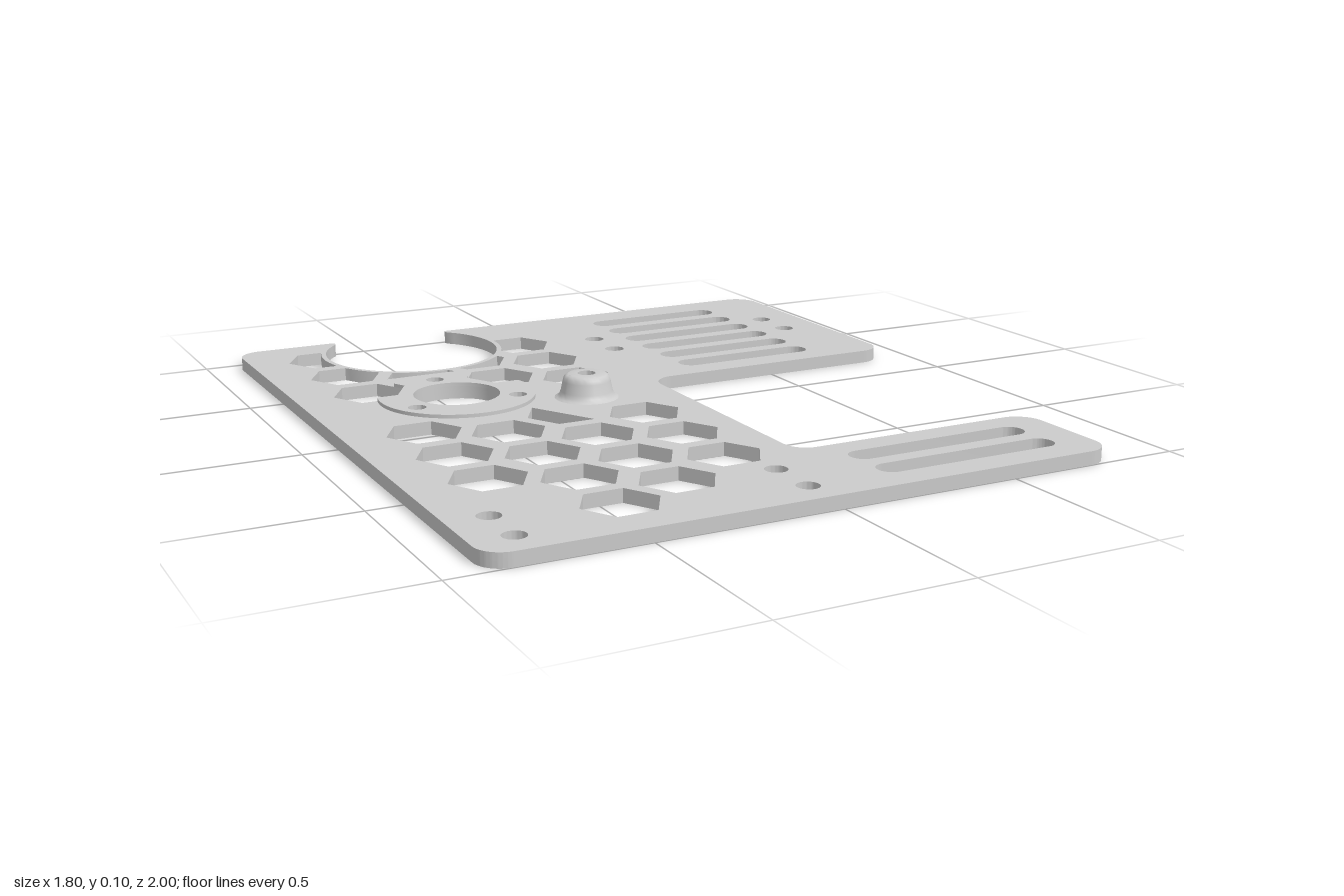
import * as THREE from 'three';
import { toCreasedNormals } from 'three/addons/utils/BufferGeometryUtils.js';

const V = (x, z) => new THREE.Vector2(x, z);
const THICK = 0.037;
const OPENING = { c: V(-0.412, -0.794), r: 0.262, rim: 0.276 };
const FLANGE = { c: V(-0.488, -0.22), r: 0.22, bore: 0.121 };
const HEX_R = 0.104;

// Shapes are drawn in (x, z) and laid flat with the bottom at y0
function slab(shape, y0, height) {
  const geo = new THREE.ExtrudeGeometry(shape, { depth: height, bevelEnabled: false, curveSegments: 24 });
  geo.rotateX(Math.PI / 2).translate(0, y0 + height, 0);
  return toCreasedNormals(geo, 0.5);
}

function circle(x, z, r) {
  return new THREE.Path().absarc(x, z, r, 0, Math.PI * 2, false);
}

function slot(x0, x1, z, r) {
  const p = new THREE.Path();
  p.absarc(x1 - r, z, r, -Math.PI / 2, Math.PI / 2, false);
  p.absarc(x0 + r, z, r, Math.PI / 2, Math.PI * 1.5, false);
  p.closePath();
  return p;
}

function hexagon(x, z) {
  return Array.from({ length: 6 }, (_, i) =>
    V(x + HEX_R * Math.cos(i * Math.PI / 3), z + HEX_R * Math.sin(i * Math.PI / 3)));
}

// Cuts a polygon back to the rim circle of the round opening
function clipToRim(poly) {
  const { c, rim } = OPENING;
  let pts = [];
  poly.forEach((p, i) => {
    const q = poly[(i + 1) % poly.length];
    for (let k = 0; k < 40; k++) pts.push(p.clone().lerp(q, k / 40));
  });
  const dist = pts.map(p => p.distanceTo(c));
  if (Math.min(...dist) >= rim) return poly;
  const far = dist.indexOf(Math.max(...dist));
  pts = [...pts.slice(far), ...pts.slice(0, far)];
  const out = [];
  let last = pts[0], gap = false;
  for (const p of pts) {
    if (p.distanceTo(c) < rim) { gap = true; continue; }
    if (gap) {
      const a0 = Math.atan2(last.y - c.y, last.x - c.x);
      let d = Math.atan2(p.y - c.y, p.x - c.x) - a0;
      d = Math.atan2(Math.sin(d), Math.cos(d));
      for (let k = 1; k < 12; k++) {
        const a = a0 + d * k / 12;
        out.push(V(c.x + rim * Math.cos(a), c.y + rim * Math.sin(a)));
      }
      gap = false;
    }
    out.push(p);
    last = p;
  }
  return out;
}

// Distance along a ray to the nearest side of a polygon
function rayHit(origin, dir, poly) {
  let best = Infinity;
  poly.forEach((p, i) => {
    const e = poly[(i + 1) % poly.length].clone().sub(p);
    const w = p.clone().sub(origin);
    const den = dir.cross(e);
    if (Math.abs(den) < 1e-9) return;
    const t = w.cross(e) / den, s = w.cross(dir) / den;
    if (t > 0 && s >= 0 && s <= 1) best = Math.min(best, t);
  });
  return best;
}

// Right-angled corner with a fillet
function corner(shape, prev, [x, z, r], next) {
  const p = V(x, z);
  const u = V(prev[0], prev[1]).sub(p).normalize();
  const v = V(next[0], next[1]).sub(p).normalize();
  const c = p.clone().addScaledVector(u, r).addScaledVector(v, r);
  shape.absarc(c.x, c.y, r, Math.atan2(-v.y, -v.x), Math.atan2(-u.y, -u.x), u.cross(v) > 0);
}

function plateOutline() {
  const s = new THREE.Shape();
  const { c, r } = OPENING;
  const start = [c.x + 0.197, -1], end = [c.x - 0.197, -1];
  const corners = [[0.9, -1, 0.07], [0.9, -0.15, 0.07], [0.085, -0.15, 0.07], [0.085, 0.65, 0.06],
    [0.81, 0.65, 0.07], [0.81, 1, 0.07], [-0.905, 1, 0.07], [-0.905, -1, 0.07]];
  s.moveTo(...start);
  corners.forEach((k, i) => corner(s, corners[i - 1] ?? start, k, corners[i + 1] ?? end));
  s.lineTo(...end);
  // rounded lips on both sides of the open circle
  const a = Math.asin((-0.978 - c.y) / r);
  s.quadraticCurveTo(c.x - 0.178, -1, c.x - r * Math.cos(a), -0.978);
  s.absarc(c.x, c.y, r, Math.PI - a, a, true);
  s.quadraticCurveTo(c.x + 0.178, -1, ...start);
  return s;
}

export function createModel() {
  const group = new THREE.Group();
  const mat = new THREE.MeshStandardMaterial({ color: 0xcccccc });
  const add = (name, geo) => {
    const m = new THREE.Mesh(geo, mat);
    m.name = name;
    group.add(m);
    return m;
  };

  // Honeycomb columns
  const columns = [
    [-0.692, [-0.805, -0.587, -0.37, 0.07, 0.288, 0.505]],
    [-0.492, [0.16, 0.378, 0.595, 0.813]],
    [-0.295, [-0.587, -0.37, 0.288, 0.505, 0.723]],
    [-0.094, [-0.713, -0.495, -0.277, 0.16, 0.378, 0.595]],
  ];
  const cells = columns.flatMap(([x, zs]) => zs.map(z => hexagon(x, z)));
  // partial cells beside the flange and the boss
  const half = hexagon(-0.492, -0.494);
  cells.push([half[3], half[4], half[5], half[0]]);
  cells.push(hexagon(-0.295, 0.07).slice(1, 5));

  // Holes shared by the flange and the plate
  const flangeHoles = () => [
    circle(FLANGE.c.x, FLANGE.c.y, FLANGE.bore),
    ...[-90, 30, 150].map(d => {
      const a = d * Math.PI / 180;
      return circle(FLANGE.c.x + 0.172 * Math.cos(a), FLANGE.c.y + 0.172 * Math.sin(a), 0.025);
    }),
  ];

  // Base plate
  const plate = plateOutline();
  for (const cell of cells) plate.holes.push(new THREE.Path(clipToRim(cell)));
  plate.holes.push(...flangeHoles());
  for (let i = 0; i < 6; i++) plate.holes.push(slot(0.247, 0.686, -0.86 + i * 0.1185, 0.037));
  for (const z of [0.76, 0.88]) plate.holes.push(slot(0.174, 0.71, z, 0.037));
  for (const x of [0.157, 0.775]) for (const z of [-0.675, -0.53]) plate.holes.push(circle(x, z, 0.029));
  for (const x of [-0.796, -0.043]) for (const z of [0.762, 0.907]) plate.holes.push(circle(x, z, 0.03));
  add('basePlate', slab(plate, 0, THICK));

  // Raised flange, notched where the honeycomb meets it
  const rim = [];
  for (let i = 0; i < 240; i++) {
    const a = i / 240 * Math.PI * 2;
    const dir = V(Math.cos(a), Math.sin(a));
    const r = Math.min(FLANGE.r, ...cells.map(cell => rayHit(FLANGE.c, dir, cell)));
    rim.push(FLANGE.c.clone().addScaledVector(dir, r));
  }
  const flange = new THREE.Shape(rim);
  flange.holes.push(...flangeHoles());
  add('raisedFlange', slab(flange, THICK, 0.01));

  // Flared boss with a blind hole
  const profile = [[0.092, 0.036], [0.083, 0.04], [0.077, 0.047], [0.073, 0.057], [0.067, 0.085],
    [0.064, 0.095], [0.058, 0.102], [0.05, 0.105], [0.025, 0.105], [0.025, 0.05], [0, 0.05]];
  const boss = new THREE.LatheGeometry(profile.map(p => V(...p)), 48);
  add('boss', toCreasedNormals(boss, 0.7)).position.set(-0.163, 0, -0.058);

  return group;
}
